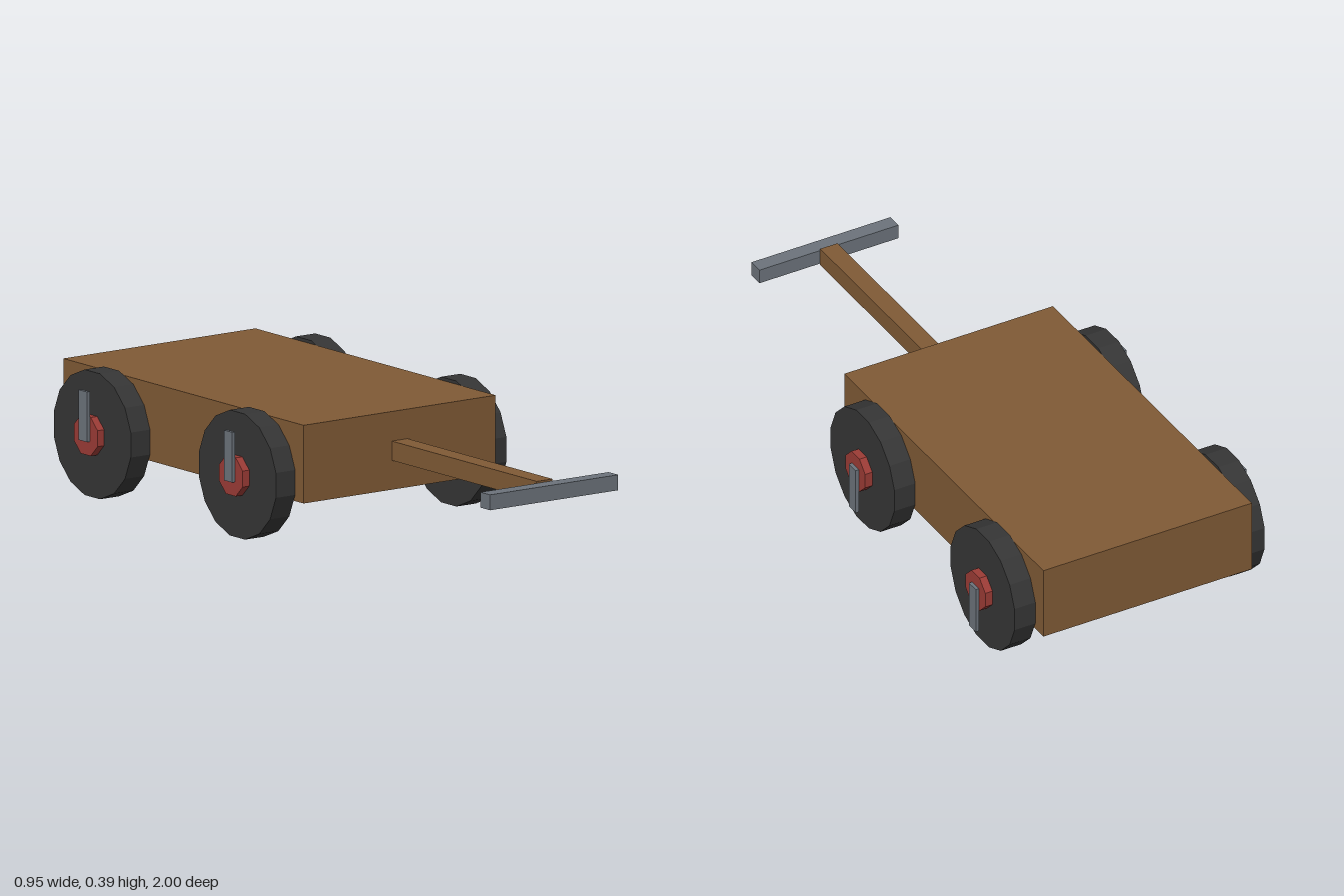
import * as THREE from 'three';

function material(name, color) {
  const m = new THREE.MeshStandardMaterial({ color });
  m.name = name;
  return m;
}

export function createModel() {
  const wood = material('brown wood', 0x805a35);
  const rubber = material('black rubber', 0x353535);
  const red = material('red hub', 0x9c3c36);
  const steel = material('grey steel', 0x6c737b);

  const model = new THREE.Group();
  model.name = 'wagon';

  // Box spanning two corners
  function box(name, mat, min, max, parent = model) {
    const size = max.map((v, i) => v - min[i]);
    const mesh = new THREE.Mesh(new THREE.BoxGeometry(...size), mat);
    mesh.name = name;
    mesh.position.set(...max.map((v, i) => (v + min[i]) / 2));
    parent.add(mesh);
  }

  // Faceted disc along x, resting on a flat side
  function disc(name, mat, apothem, sides, x0, x1, parent) {
    const radius = apothem / Math.cos(Math.PI / sides);
    const geo = new THREE.CylinderGeometry(radius, radius, Math.abs(x1 - x0), sides, 1, false, Math.PI / sides)
      .rotateZ(Math.PI / 2).toNonIndexed();
    geo.computeVertexNormals();
    const mesh = new THREE.Mesh(geo, mat);
    mesh.name = name;
    mesh.position.x = (x0 + x1) / 2;
    parent.add(mesh);
  }

  // Bed, pull bar and handle
  box('bed', wood, [-0.366, 0.137, -1], [0.364, 0.38, 0.217]);
  box('pullBar', wood, [-0.031, 0.228, 0.217], [0.029, 0.288, 0.951]);
  box('handle', steel, [-0.245, 0.234, 0.951], [0.242, 0.282, 1]);

  // Wheels with hubs and crank plates; the plates point down on the left, up on the right
  for (const side of [1, -1]) {
    for (const [end, z] of [['front', -0.021], ['rear', -0.756]]) {
      const wheel = new THREE.Group();
      wheel.name = end + (side > 0 ? 'Left' : 'Right') + 'Wheel';
      wheel.position.set(-0.001, 0.195, z);
      disc('tyre', rubber, 0.195, 16, side * 0.365, side * 0.438, wheel);
      disc('hub', red, 0.06, 8, side * 0.438, side * 0.463, wheel);
      const y = side > 0 ? -0.137 : -0.016;
      const x = side > 0 ? 0.463 : -0.474;
      box('crankPlate', steel, [x, y, -0.021], [x + 0.011, y + 0.156, 0.021], wheel);
      model.add(wheel);
    }
  }
  return model;
}
